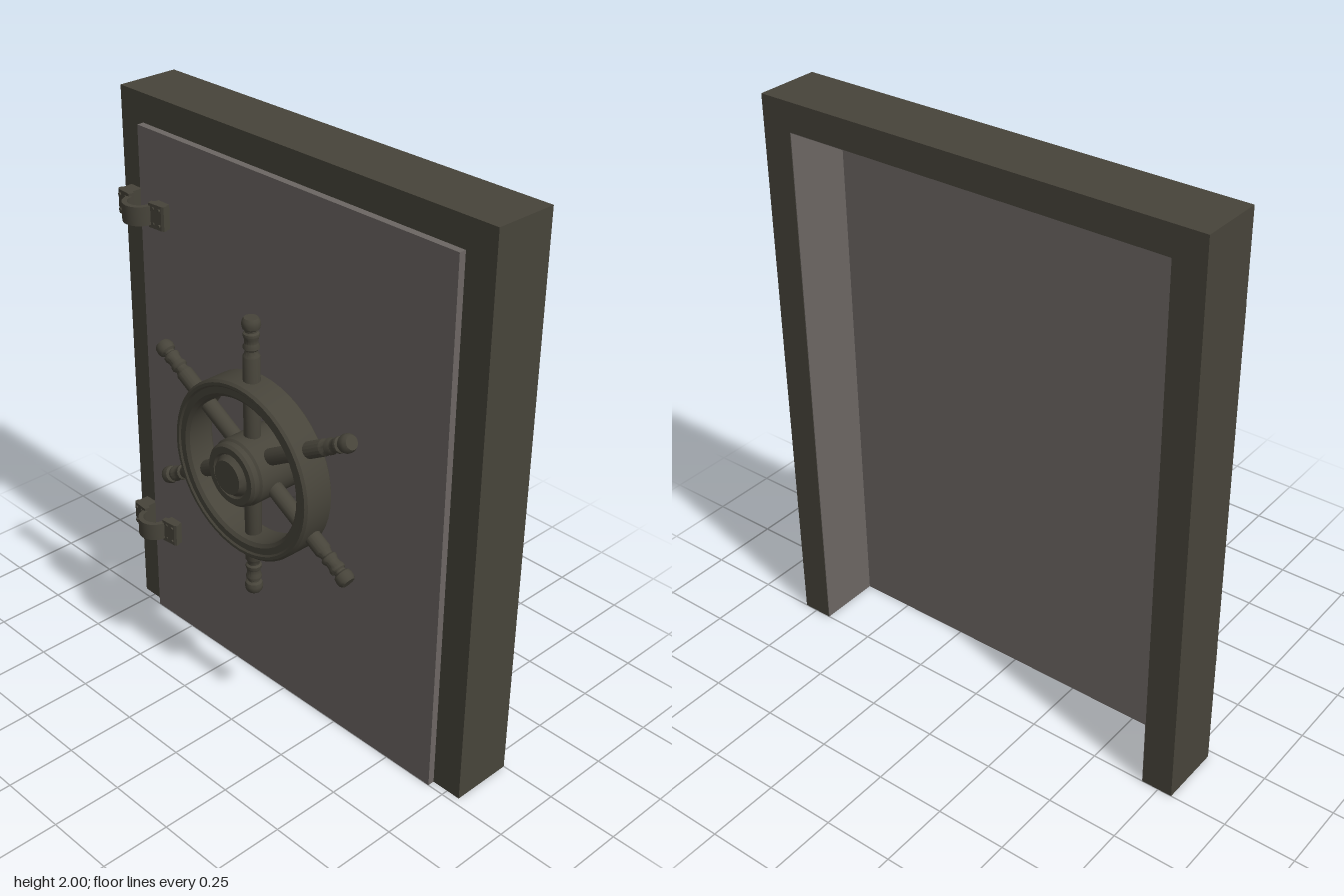
import * as THREE from 'three';
import { toCreasedNormals } from 'three/addons/utils/BufferGeometryUtils.js';

const dark = new THREE.MeshStandardMaterial({ color: 0x47443a });
const pale = new THREE.MeshStandardMaterial({ color: 0x6c6663 });

function add(parent, name, geometry, material, x = 0, y = 0, z = 0) {
  const mesh = new THREE.Mesh(geometry, material);
  mesh.name = name;
  mesh.position.set(x, y, z);
  parent.add(mesh);
  return mesh;
}

const box = (w, h, d) => new THREE.BoxGeometry(w, h, d);

// Turned part from [radius, height] pairs
function turned(points, sides) {
  const profile = points.map(([r, h]) => new THREE.Vector2(r, h));
  return toCreasedNormals(new THREE.LatheGeometry(profile, sides), 0.6);
}

function extruded(points, depth) {
  const shape = new THREE.Shape(points.map(([x, y]) => new THREE.Vector2(x, y)));
  return new THREE.ExtrudeGeometry(shape, { depth, bevelEnabled: false });
}

function makeFrame() {
  const frame = new THREE.Group();
  frame.name = 'doorFrame';
  // Three-sided surround, open at the floor
  const arch = extruded([[-0.8, 0], [-0.69, 0], [-0.69, 1.9], [0.69, 1.9],
    [0.69, 0], [0.8, 0], [0.8, 2], [-0.8, 2]], 0.225);
  add(frame, 'surround', arch, dark, 0, 0, -0.25);
  // Thin lining of the opening
  for (const s of [-1, 1]) add(frame, 'jambLining', box(0.002, 1.9, 0.224), pale, s * 0.689, 0.95, -0.137);
  add(frame, 'headLining', box(1.376, 0.002, 0.224), pale, 0, 1.899, -0.137);
  return frame;
}

function makeWheel() {
  const wheel = new THREE.Group();
  wheel.name = 'handWheel';

  // Parts turned about the z axis
  const hub = new THREE.Group();
  hub.name = 'hub';
  hub.position.set(0, 0.98, 0);
  hub.rotation.x = Math.PI / 2;
  wheel.add(hub);
  add(hub, 'mountingPlate', turned([[0, 0], [0.16, 0], [0.16, 0.017], [0.148, 0.02],
    [0.148, 0.033], [0, 0.033]], 40), pale);
  add(hub, 'shaft', turned([[0, 0.03], [0.115, 0.03], [0.115, 0.2], [0.108, 0.207],
    [0.108, 0.226], [0.1, 0.235], [0.078, 0.235], [0.072, 0.228], [0.066, 0.235],
    [0.058, 0.248], [0, 0.248]], 40), dark);
  add(hub, 'rim', turned([[0.258, 0.085], [0.302, 0.085], [0.31, 0.093], [0.31, 0.192],
    [0.302, 0.2], [0.292, 0.2], [0.286, 0.195], [0.264, 0.195], [0.252, 0.186],
    [0.252, 0.093], [0.258, 0.085]], 48), dark);

  // Six turned spokes with grips
  const spoke = turned([[0, 0.08], [0.028, 0.08], [0.028, 0.375], [0.024, 0.382], [0.021, 0.39],
    [0.021, 0.396], [0.027, 0.402], [0.027, 0.41], [0.022, 0.42], [0.023, 0.434],
    [0.027, 0.445], [0.026, 0.453], [0.02, 0.458], [0.02, 0.464], [0.028, 0.47],
    [0.031, 0.482], [0.029, 0.496], [0.023, 0.505], [0, 0.505]], 16);
  for (let i = 0; i < 6; i++) {
    add(wheel, 'spoke', spoke, dark, 0, 1, 0.138).rotation.z = i * Math.PI / 3;
  }
  return wheel;
}

function makeHinge(y) {
  const hinge = new THREE.Group();
  hinge.name = 'hinge';
  hinge.position.set(-0.655, y, 0);

  // Curved strap, drawn in x and z and extruded along y
  const arc = (r, a, b) => Array.from({ length: 17 }, (_, i) => {
    const t = a + (b - a) * i / 16;
    return [r * Math.cos(t), 0.032 + r * Math.sin(t)];
  });
  const strap = toCreasedNormals(extruded([...arc(0.06, 0, Math.PI), ...arc(0.042, Math.PI, 0)], 0.066), 0.6);
  strap.rotateX(Math.PI / 2);
  add(hinge, 'strap', strap, dark, 0, 0.033, 0);

  // Mounting feet with chamfered front lips
  for (const [side, back] of [[-1, -0.025], [1, 0]]) {
    const foot = extruded([[0.058, back], [0.112, back], [0.112, 0.012], [0.117, 0.016],
      [0.117, 0.028], [0.108, 0.033], [0.05, 0.038], [0.045, 0.02], [0.058, 0.014]], 0.085);
    foot.rotateX(Math.PI / 2);
    const mount = new THREE.Group();
    mount.name = 'foot';
    if (side < 0) mount.rotation.z = Math.PI;
    hinge.add(mount);
    add(mount, 'footPlate', foot, dark, 0, 0.0425, 0);
    // Four small rivets
    for (const x of [0.072, 0.1]) {
      for (const v of [-0.027, 0.027]) {
        const rivet = add(mount, 'rivet', new THREE.CylinderGeometry(0.005, 0.006, 0.008, 10), dark, x, v, 0.035);
        rivet.rotation.x = Math.PI / 2;
      }
    }
  }
  return hinge;
}

export function createModel() {
  const model = new THREE.Group();
  model.name = 'vaultDoor';
  model.add(makeFrame());
  add(model, 'doorPanel', box(1.38, 1.9, 0.026), pale, 0, 0.95, -0.013);
  model.add(makeWheel(), makeHinge(1.625), makeHinge(0.395));
  return model;
}
